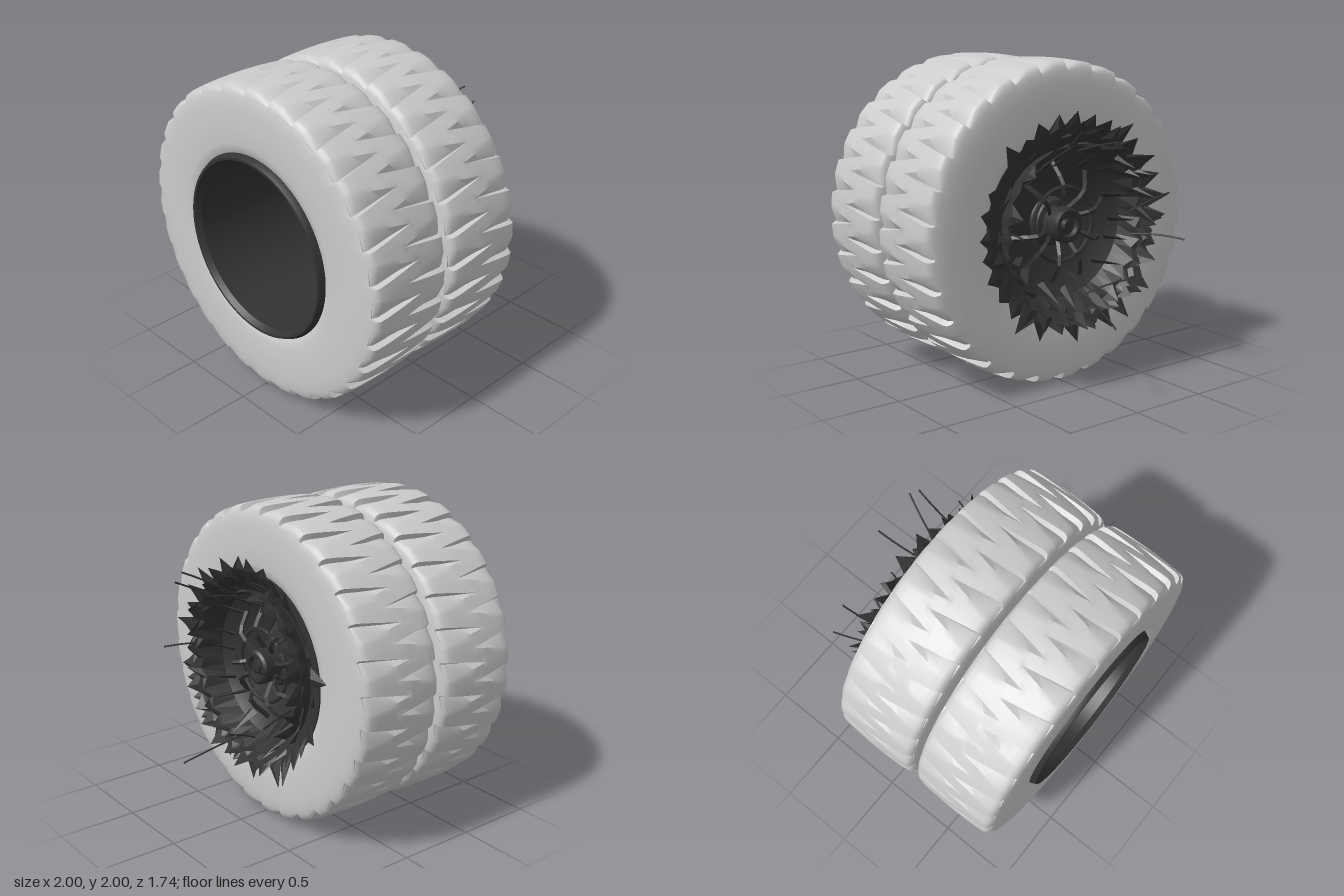
import * as THREE from 'three';
import { toCreasedNormals } from 'three/addons/utils/BufferGeometryUtils.js';

const rubber = new THREE.MeshStandardMaterial({ color: 0xcccccc });
const dark = new THREE.MeshStandardMaterial({ color: 0x333333, side: THREE.DoubleSide });
const torn = new THREE.MeshStandardMaterial({ color: 0x333333, side: THREE.DoubleSide, flatShading: true });

let seed = 7;
const rnd = (a = 0, b = 1) => {
  seed = (seed * 16807) % 2147483647;
  return a + (b - a) * (seed / 2147483647);
};

function named(name, geometry, material) {
  const mesh = new THREE.Mesh(geometry, material);
  mesh.name = name;
  return mesh;
}

// Turned part around the z axis; points are [radius, z]
function turned(points, segments = 64) {
  const g = new THREE.LatheGeometry(points.map(([r, z]) => new THREE.Vector2(r, z)), segments);
  return toCreasedNormals(g.rotateX(Math.PI / 2), 0.5);
}

// Surface from equal-length rows of points
function loft(rows) {
  const n = rows[0].length;
  const index = [];
  for (let i = 0; i < rows.length - 1; i++) {
    for (let j = 0; j < n; j++) {
      const k = (j + 1) % n;
      const a = i * n + j, b = i * n + k, c = a + n, d = b + n;
      index.push(a, b, d, a, d, c);
    }
  }
  const g = new THREE.BufferGeometry();
  g.setAttribute('position', new THREE.Float32BufferAttribute(rows.flat(2), 3));
  g.setIndex(index);
  g.computeVertexNormals();
  return g;
}

const polar = (r, a, z) => [r * Math.cos(a), r * Math.sin(a), z];

// Tyre: wedge grooves run in from both shoulders and interlock at the middle
function tyreGeometry(teeth = 30) {
  // [radius, offset from the middle, share of groove depth]
  const half = [
    [0.57, 0.2, 0], [0.572, 0.265, 0], [0.59, 0.28, 0], [0.64, 0.289, 0], [0.76, 0.292, 0],
    [0.86, 0.291, 0], [0.92, 0.286, 0], [0.95, 0.279, 0.3], [0.97, 0.27, 0.9], [0.982, 0.258, 1],
    [0.989, 0.24, 1], [0.994, 0.19, 1], [0.997, 0.13, 1], [0.999, 0.06, 1], [1, 0.045, 1],
  ];
  const profile = [
    ...half.map(([r, z, k]) => [r, -z, k]), [1, 0, 1],
    ...half.slice().reverse(),
  ];
  const groove = (z, side) => {
    const t = THREE.MathUtils.clamp((side * z + 0.05) / 0.31, 0, 1);
    return { w: 0.004 + 0.27 * t, d: 0.034 * Math.min(1, 2.2 * t) };
  };
  const rows = profile.map(([r, z, k]) => {
    const L = groove(z, 1), R = groove(z, -1);
    const gap = (L.w + 0.5 - R.w) / 2;
    // [fraction of one tooth, depth]: steep wall, then a ramp up to the land
    const cols = [
      [-L.w, 0], [-L.w * 0.8, L.d], [L.w, 0], [gap, 0],
      [0.5 - R.w, 0], [0.5 - R.w * 0.8, R.d], [0.5 + R.w, 0], [1 - gap, 0],
    ];
    const row = [];
    for (let i = 0; i < teeth; i++) {
      for (const [f, d] of cols) row.push(polar(r - d * k, ((i + f) / teeth) * Math.PI * 2, z));
    }
    return row;
  });
  return toCreasedNormals(loft(rows), 0.6);
}

// Jagged collar of torn metal, from a base ring out to uneven tips
function tornCollar(name, spikes, base, mid, tip, jitter) {
  const rows = [[], [], []];
  for (let i = 0; i < spikes; i++) {
    const step = (Math.PI * 2) / spikes;
    const a = i * step + rnd(-0.25, 0.25) * step;
    const r = tip[0] + rnd(-jitter, jitter), z = tip[1] + rnd(-jitter, jitter) * 0.8;
    // each spike has a valley column and a tip column
    rows[0].push(polar(base[0], i * step - step / 2, base[1]), polar(base[0], i * step, base[1]));
    rows[1].push(
      polar(mid[0] - 0.01, i * step - step / 2, mid[1]),
      polar(mid[0] + 0.015, i * step, mid[1] - rnd(0.01, 0.04)),
    );
    rows[2].push(
      polar(mid[0] + 0.02, i * step - step / 2, mid[1] - 0.015),
      polar(r, a, z),
    );
  }
  return named(name, loft(rows), torn);
}

export function createModel() {
  const model = new THREE.Group();
  model.name = 'twinWheel';
  const wheel = new THREE.Group();
  wheel.name = 'wheelAssembly';
  wheel.position.y = 1;
  model.add(wheel);

  // Tyres
  const tyre = tyreGeometry();
  [['frontTyre', 0.553], ['rearTyre', -0.053]].forEach(([name, z], i) => {
    const mesh = named(name, tyre, rubber);
    mesh.position.z = z;
    mesh.rotation.z = i * 0.06;
    wheel.add(mesh);
  });

  // Barrel open to the front with a deep back plate
  wheel.add(named('rimBarrel', turned([
    [0, -0.12], [0.53, -0.12], [0.53, 0.83], [0.55, 0.865], [0.565, 0.865],
    [0.582, 0.83], [0.582, -0.335],
  ]), dark));

  // Rear bowl and hub
  wheel.add(named('rearBowl', turned([
    [0.595, -0.35], [0.52, -0.35], [0.46, -0.29], [0.32, -0.22], [0.12, -0.17], [0, -0.17],
  ], 40), dark));
  wheel.add(named('hub', turned([
    [0.16, -0.17], [0.14, -0.24], [0.11, -0.25], [0.11, -0.36], [0.095, -0.375],
    [0.07, -0.375], [0.065, -0.34], [0.04, -0.34], [0.035, -0.37], [0, -0.37],
  ], 24), dark));
  const ring = named('hubRing', new THREE.TorusGeometry(0.23, 0.014, 6, 32), dark);
  ring.position.z = -0.31;
  wheel.add(ring);

  // Bent struts around the hub
  const struts = new THREE.Group();
  struts.name = 'hubStruts';
  for (let i = 0; i < 9; i++) {
    const a = (i / 9) * Math.PI * 2;
    const path = new THREE.CatmullRomCurve3([
      new THREE.Vector3(...polar(0.1, a, -0.28)),
      new THREE.Vector3(...polar(0.23, a + rnd(-0.15, 0.15), -0.33 - rnd(0, 0.04))),
      new THREE.Vector3(...polar(rnd(0.34, 0.42), a + rnd(-0.25, 0.25), -0.25)),
    ]);
    struts.add(named('hubStrut', new THREE.TubeGeometry(path, 6, 0.016, 4), torn));
  }
  wheel.add(struts);

  // Torn metal flaring out of the rim
  wheel.add(
    tornCollar('outerTornCollar', 32, [0.52, -0.345], [0.6, -0.385], [0.7, -0.435], 0.05),
    tornCollar('middleTornCollar', 28, [0.5, -0.34], [0.56, -0.43], [0.63, -0.51], 0.05),
    tornCollar('innerTornCollar', 24, [0.46, -0.3], [0.5, -0.43], [0.53, -0.54], 0.04),
  );

  // Loose flat shards inside the bowl
  const shards = new THREE.Group();
  shards.name = 'looseShards';
  for (let i = 0; i < 16; i++) {
    const a = (i / 16) * Math.PI * 2 + rnd(-0.1, 0.1);
    const shard = named('shard', new THREE.ConeGeometry(0.045, rnd(0.15, 0.24), 3), torn);
    shard.scale.z = 0.3;
    shard.position.set(...polar(rnd(0.4, 0.47), a, rnd(-0.38, -0.33)));
    shard.quaternion.setFromUnitVectors(
      new THREE.Vector3(0, 1, 0),
      new THREE.Vector3(...polar(0.5, a + rnd(-0.6, 0.6), -0.8)).normalize(),
    );
    shards.add(shard);
  }
  wheel.add(shards);

  // Stray wires: base and tip, bowed slightly
  const wires = new THREE.Group();
  wires.name = 'strayWires';
  [
    [[-0.02, -0.4, -0.44], [0.06, -0.52, -0.87]],
    [[-0.46, -0.1, -0.42], [-0.6, -0.1, -0.75]],
    [[0.29, 0.36, -0.42], [0.29, 0.54, -0.74]],
    [[0.1, 0.44, -0.42], [0.21, 0.62, -0.74]],
    [[-0.02, 0.46, -0.42], [-0.07, 0.54, -0.75]],
    [[-0.08, -0.42, -0.44], [-0.18, -0.3, -0.69]],
    [[0.52, 0.02, -0.38], [0.57, 0.04, -0.67]],
    [[-0.4, 0.03, -0.42], [-0.49, 0.2, -0.72]],
  ].forEach(([from, to]) => {
    const a = new THREE.Vector3(...from), b = new THREE.Vector3(...to);
    const bow = a.clone().lerp(b, 0.5).add(new THREE.Vector3(-0.02, 0.02, 0));
    const path = new THREE.QuadraticBezierCurve3(a, bow, b);
    wires.add(named('wire', new THREE.TubeGeometry(path, 8, 0.006, 5), dark));
  });
  wheel.add(wires);

  return model;
}
